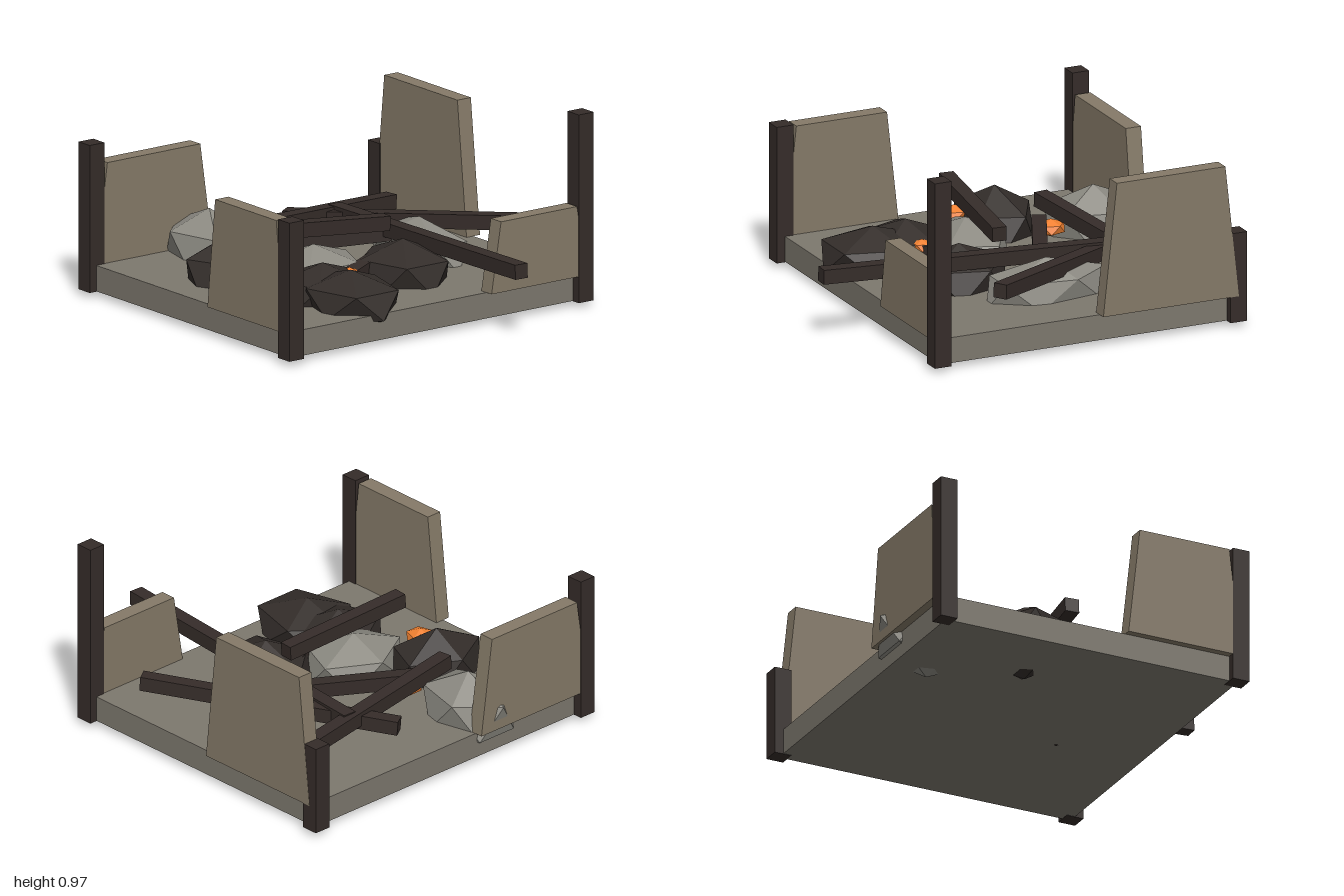
import * as THREE from 'three';

const paint = (color) => new THREE.MeshStandardMaterial({ color, flatShading: true });
const mats = {
  floor: paint(0x7d786e), wall: paint(0x857a68), wood: paint(0x352c29),
  stone: paint(0x8c8a82), char: paint(0x332d2a), ember: paint(0xf08030),
};

export function createModel() {
  const model = new THREE.Group();
  const add = (name, geo, mat, x = 0, y = 0, z = 0) => {
    const mesh = new THREE.Mesh(geo, mat);
    mesh.name = name;
    mesh.position.set(x, y, z);
    model.add(mesh);
    return mesh;
  };

  // Floor slab
  add('floorSlab', new THREE.BoxGeometry(1.59, 0.13, 1.78), mats.floor, -0.138, 0.1, 0);

  // Corner posts, broken off at different heights
  const posts = [[-0.935, 0.885, 0.775], [0.657, 0.885, 0.73], [0.657, -0.885, 0.98], [-0.935, -0.885, 0.49]];
  for (const [x, z, top] of posts) {
    add('cornerPost', new THREE.BoxGeometry(0.09, top - 0.033, 0.09), mats.wood, x, (top + 0.033) / 2, z);
  }

  // Wall remnants: slabs whose top is 80% as wide as the foot
  const wall = (name, x, z, width, top, alongZ) => {
    const h = width / 2, y0 = 0.165;
    const shape = new THREE.Shape([
      new THREE.Vector2(-h, 0), new THREE.Vector2(h, 0),
      new THREE.Vector2(h * 0.8, top - y0), new THREE.Vector2(-h * 0.8, top - y0),
    ]);
    const geo = new THREE.ExtrudeGeometry(shape, { depth: 0.082, bevelEnabled: false });
    geo.translate(0, 0, -0.041);
    if (alongZ) geo.rotateY(Math.PI / 2);
    add(name, geo, mats.wall, x, y0, z);
  };
  wall('backWall', -0.57, -0.89, 0.73, 0.84, false);
  wall('frontWall', 0.35, 0.886, 0.61, 0.72, false);
  wall('rightWall', 0.657, -0.6, 0.58, 0.52, true);
  wall('leftWall', -0.935, 0.535, 0.71, 0.67, true);

  // Rubble: squashed icosahedra standing on a corner, unit half-extents
  const rockGeo = new THREE.IcosahedronGeometry(1, 0);
  rockGeo.rotateX(-Math.atan((1 + Math.sqrt(5)) / 2));
  rockGeo.rotateY(-Math.PI / 2);
  rockGeo.scale(1 / 0.894, 1, 1 / 0.851);
  const rocks = [
    // name, material, x, y, z, half x, half y, half z
    ['paleRock', mats.stone, -0.745, 0.198, 0.31, 0.25, 0.192, 0.182],
    ['paleRock', mats.stone, -0.11, 0.198, -0.487, 0.322, 0.155, 0.153],
    ['paleRock', mats.stone, -0.02, 0.198, 0.23, 0.205, 0.155, 0.25],
    ['charredRock', mats.char, -0.31, 0.198, 0.508, 0.185, 0.192, 0.233],
    ['charredRock', mats.char, 0.2, 0.198, -0.15, 0.245, 0.168, 0.205],
    ['charredRock', mats.char, 0.425, 0.198, 0.342, 0.265, 0.14, 0.21],
    ['charredRock', mats.char, 0.235, 0.198, 0.37, 0.2, 0.14, 0.22],
    ['ember', mats.ember, -0.455, 0.25, 0.18, 0.072, 0.045, 0.062],
    ['ember', mats.ember, -0.125, 0.25, 0.577, 0.072, 0.045, 0.064],
    ['ember', mats.ember, 0.23, 0.25, 0.2, 0.05, 0.035, 0.045],
  ];
  for (const [name, mat, x, y, z, sx, sy, sz] of rocks) {
    add(name, rockGeo, mat, x, y, z).scale.set(sx, sy, sz);
  }

  // Fallen beams, each laid between two end points
  const beams = [
    [[0.32, 0.355, -0.865], [-0.76, 0.265, -0.165]],
    [[-0.6, 0.3, -0.345], [0.995, 0.352, -0.265]],
    [[-0.65, 0.275, -0.73], [-0.5, 0.33, 0.39]],
    [[0.003, 0.397, -0.2], [-0.053, 0.455, 0.515]],
    [[-0.15, 0.29, -0.34], [-0.44, 0.25, 0.28]],
    [[0.05, 0.25, -0.15], [0.27, 0.22, 0.3]],
  ];
  for (const [a, b] of beams) {
    const p = new THREE.Vector3(...a), q = new THREE.Vector3(...b);
    const mid = p.clone().lerp(q, 0.5);
    const beam = add('fallenBeam', new THREE.BoxGeometry(0.073, 0.073, p.distanceTo(q)), mats.wood, mid.x, mid.y, mid.z);
    beam.lookAt(q);
  }

  return model;
}
